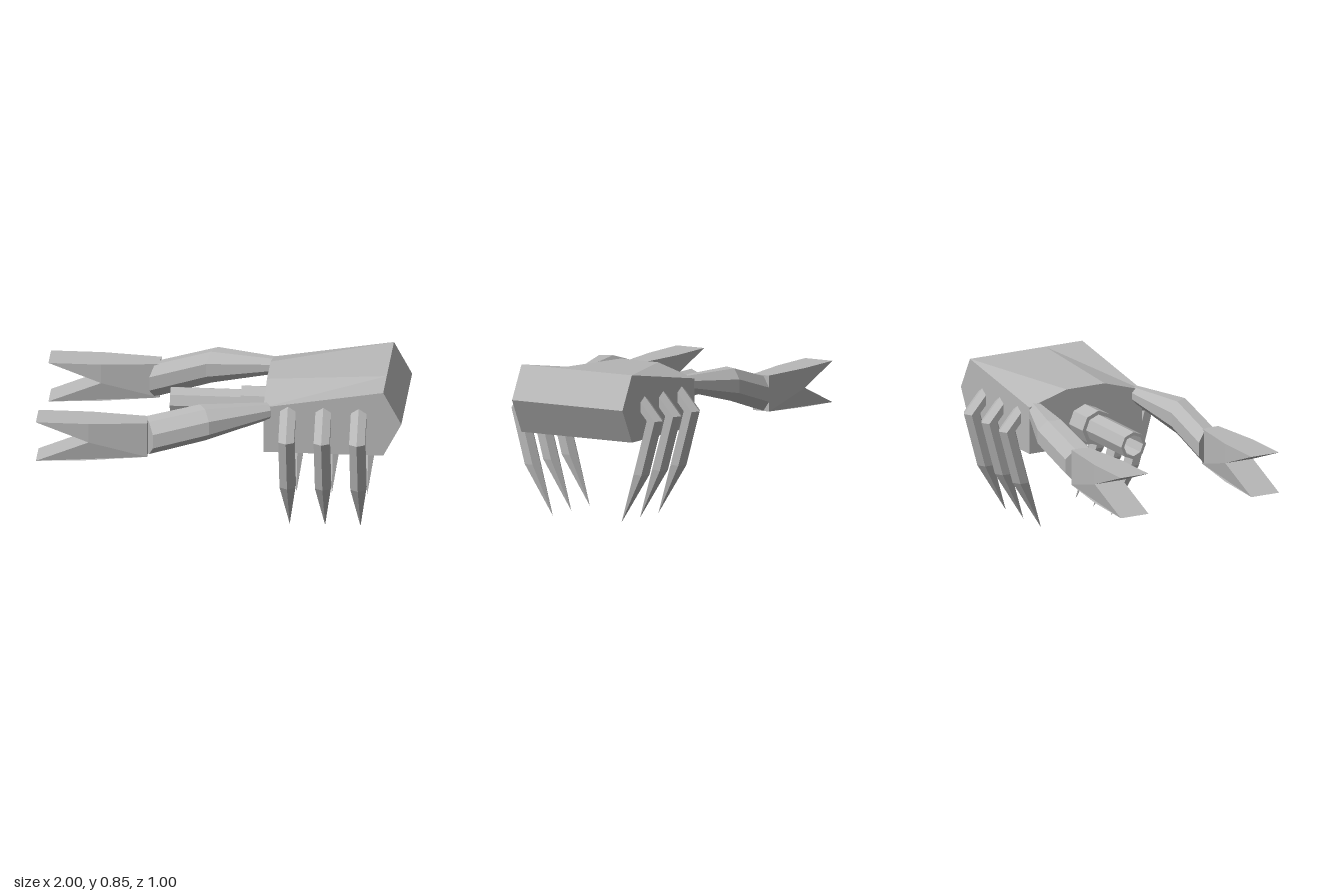
import * as THREE from 'three';

const shell = new THREE.MeshStandardMaterial({ color: 0xb8b8b8, flatShading: true });
shell.name = 'shell grey';

function part(name, geometry) {
  const mesh = new THREE.Mesh(geometry, shell);
  mesh.name = name;
  return mesh;
}

// Skins a list of equal-length rings of Vector3, caps both ends, faces outward.
function loft(rings) {
  const tris = [];
  const n = rings[0].length;
  const add = (a, b, c) => {
    const area = b.clone().sub(a).cross(c.clone().sub(a)).length();
    if (area > 1e-8) tris.push([a, b, c]);
  };
  for (let r = 0; r < rings.length - 1; r++) {
    for (let i = 0; i < n; i++) {
      const j = (i + 1) % n;
      const p = rings[r], q = rings[r + 1];
      add(p[i], p[j], q[j]);
      add(p[i], q[j], q[i]);
    }
  }
  const last = rings[rings.length - 1];
  for (let i = 1; i < n - 1; i++) {
    add(rings[0][0], rings[0][i + 1], rings[0][i]);
    add(last[0], last[i], last[i + 1]);
  }
  // A negative enclosed volume means the winding must be reversed
  let volume = 0;
  for (const [a, b, c] of tris) volume += a.dot(b.clone().cross(c));
  const points = tris.flatMap(([a, b, c]) => (volume < 0 ? [a, c, b] : [a, b, c]));
  const geometry = new THREE.BufferGeometry().setFromPoints(points);
  geometry.computeVertexNormals();
  return geometry;
}

// Body: chamfered front, square shoulder, wedge at the far end
function makeBody() {
  const z = [0.34, 0.34, 0.105, -0.135, -0.37, -0.37];
  const ring = (x, heights) => z.map((zi, i) => new THREE.Vector3(x, heights[i], zi));
  return part('body', loft([
    ring(0.24, [0.48, 0.745, 0.815, 0.815, 0.745, 0.48]),
    ring(0.9, [0.48, 0.855, 0.855, 0.855, 0.855, 0.48]),
    ring(1, [0.67, 0.67, 0.67, 0.67, 0.67, 0.67]),
  ]));
}

// Bent six-sided leg ending in a point
function makeLeg(x, side) {
  const path = [[0.285, 0.76, 0.05], [0.435, 0.59, 0.05], [0.35, 0.285, 0.05], [0.22, 0.003, 0]];
  return part('leg', loft(path.map(([z, y, r]) =>
    Array.from({ length: 6 }, (_, i) => {
      const a = (i * Math.PI) / 3;
      return new THREE.Vector3(x + r * Math.sin(a), y, side * (z + r * Math.cos(a)));
    }))));
}

// Eight-sided arm with slanted joints
function makeArm(side) {
  const path = [[0.263, 0.716, 0.316, 0.047], [-0.09, 0.67, 0.4, 0.1], [-0.4, 0.58, 0.398, 0.104]];
  return part('arm', loft(path.map(([x, y, z, r]) =>
    Array.from({ length: 8 }, (_, i) => {
      const a = ((i + 0.5) * Math.PI) / 4;
      const dz = r * 0.9 * Math.cos(a);
      return new THREE.Vector3(x + 0.5 * dz, y + r * Math.sin(a), side * (z + dz));
    }))));
}

// Forked claw, wider at the tips than at the wrist
function makeClaw(side) {
  const outline = new THREE.Shape([
    [-0.39, 0.48], [-0.39, 0.68], [-0.71, 0.68], [-1, 0.68],
    [-0.71, 0.57], [-1, 0.45], [-0.71, 0.464],
  ].map(([x, y]) => new THREE.Vector2(x, y)));
  const geometry = new THREE.ExtrudeGeometry(outline, { depth: 1, bevelEnabled: false });
  const pos = geometry.attributes.position;
  for (let i = 0; i < pos.count; i++) {
    const wrist = Math.max(0, (pos.getX(i) + 0.71) / 0.32);
    const half = THREE.MathUtils.lerp(0.0875, 0.052, wrist);
    pos.setZ(i, side * 0.4125 + (pos.getZ(i) - 0.5) * 2 * half);
  }
  geometry.computeVertexNormals();
  return part('claw', geometry);
}

// Stepped hollow barrel
function makeBarrel() {
  const profile = [
    [0, -0.26], [0.1, -0.26], [0.1, -0.09], [0.078, -0.09],
    [0.078, 0.3], [0.06, 0.3], [0.06, 0.05], [0, 0.05],
  ].map(([r, y]) => new THREE.Vector2(r, y));
  const barrel = part('barrel', new THREE.LatheGeometry(profile, 8));
  barrel.rotation.z = Math.PI / 2;
  barrel.position.set(0, 0.615, -0.02);
  return barrel;
}

export function createModel() {
  const model = new THREE.Group();
  model.name = 'clawed walker';
  model.add(makeBody(), makeBarrel());
  for (const side of [1, -1]) {
    model.add(makeArm(side), makeClaw(side));
    for (const x of [0.375, 0.57, 0.765]) model.add(makeLeg(x, side));
  }
  return model;
}
